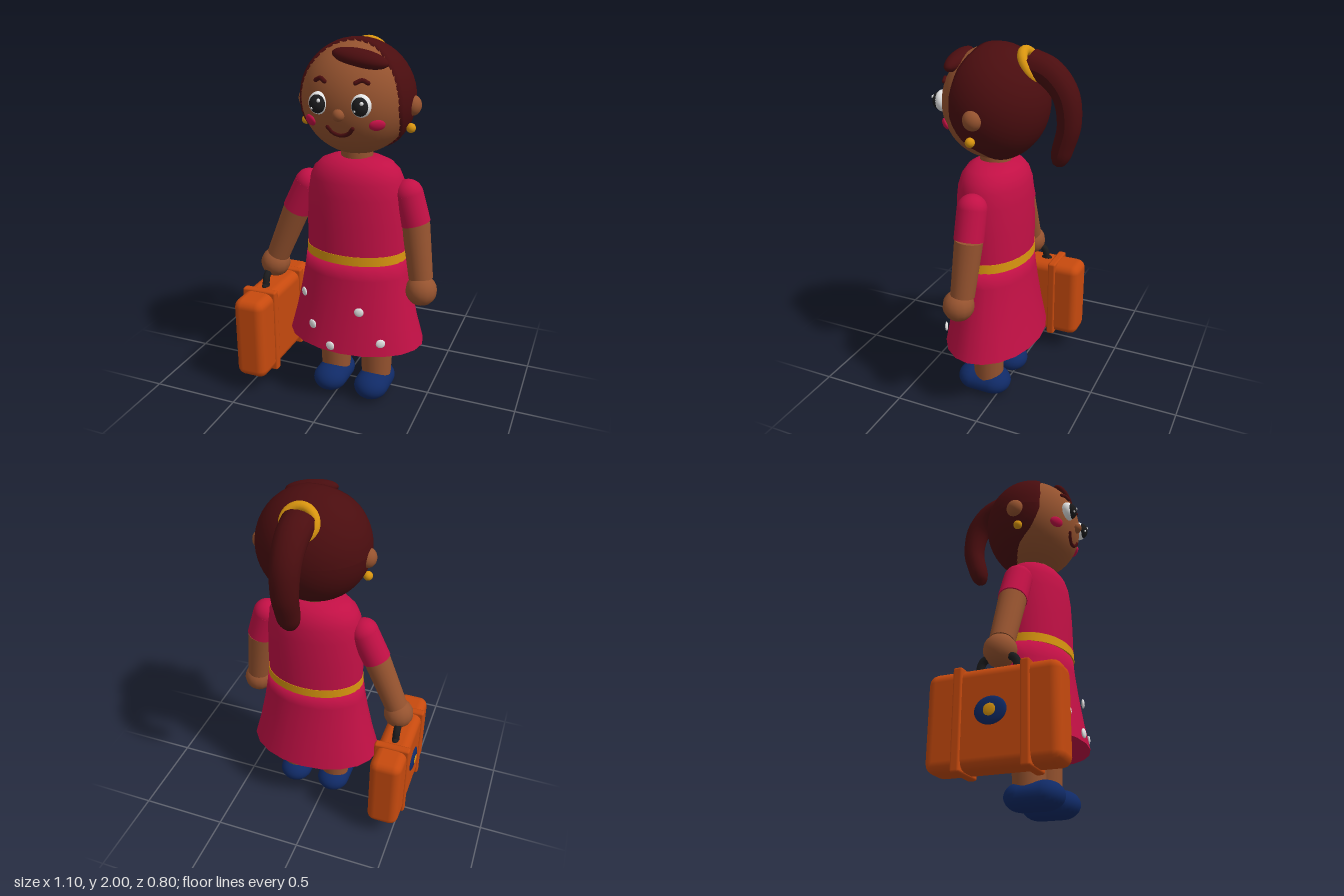
import * as THREE from 'three';
import { RoundedBoxGeometry } from 'three/addons/geometries/RoundedBoxGeometry.js';

const V = (x, y, z) => new THREE.Vector3(x, y, z);
const CX = 0.08, CZ = 0.063; // body axis
const mat = (name, color, side = THREE.FrontSide) => {
  const m = new THREE.MeshStandardMaterial({ color, side });
  m.name = name;
  return m;
};

export function createModel() {
  const model = new THREE.Group();
  model.name = 'travellingGirl';
  const crimson = mat('crimson', 0xc21045), skin = mat('skin', 0x96532f);
  const brown = mat('hairBrown', 0x4a0d0f, THREE.DoubleSide), gold = mat('gold', 0xd9950f);
  const orange = mat('caseOrange', 0xc74a0e), navy = mat('navy', 0x102a66);
  const white = mat('white', 0xebebeb), black = mat('black', 0x1c1c1e);

  const add = (name, geo, material, x = 0, y = 0, z = 0) => {
    const m = new THREE.Mesh(geo, material);
    m.name = name;
    m.position.set(x, y, z);
    model.add(m);
    return m;
  };
  const ball = (name, material, p, r, seg = 20) => {
    const m = add(name, new THREE.SphereGeometry(1, seg, Math.ceil(seg * 0.7)), material, ...p);
    m.scale.set(...(Array.isArray(r) ? r : [r, r, r]));
    return m;
  };
  const limb = (name, material, a, b, ra, rb) => {
    const m = add(name, new THREE.CylinderGeometry(rb, ra, a.distanceTo(b), 20), material);
    m.position.copy(a).add(b).multiplyScalar(0.5);
    m.quaternion.setFromUnitVectors(V(0, 1, 0), b.clone().sub(a).normalize());
    return m;
  };
  const tube = (name, material, pts, r) => {
    const curve = new THREE.CatmullRomCurve3(pts);
    add(name, new THREE.TubeGeometry(curve, 20, r, 8), material);
    for (const p of [pts[0], pts[pts.length - 1]]) ball(name + 'End', material, p.toArray(), r, 8);
  };
  const lathe = (name, material, pts, flat, seg) => {
    const geo = new THREE.LatheGeometry(pts.map(p => new THREE.Vector2(...p)), seg);
    add(name, geo, material, CX, 0, CZ).scale.z = flat;
  };

  // Dress: bodice, belt and closed skirt
  lathe('bodice', crimson, [[0.278, 0.88], [0.277, 1.05], [0.27, 1.2], [0.257, 1.28], [0.235, 1.33],
    [0.195, 1.37], [0.14, 1.393], [0.09, 1.4], [0, 1.4]], 0.71, 32);
  const belt = add('belt', new THREE.CylinderGeometry(0.281, 0.283, 0.05, 32), gold, CX, 0.873, CZ);
  belt.scale.z = 0.71;
  lathe('skirt', crimson, [[0.391, 0.35], [0.35, 0.5], [0.317, 0.65], [0.297, 0.76], [0.285, 0.85], [0, 0.85]], 0.68, 20);
  const hem = add('skirtUnderside', new THREE.CircleGeometry(0.391, 20), crimson, CX, 0.35, CZ);
  hem.rotation.x = Math.PI / 2;
  hem.scale.y = 0.68;

  // Small white flowers lying on the skirt front
  for (const [x, y] of [[-0.17, 0.63], [-0.09, 0.48], [0.03, 0.39], [0.18, 0.6], [0.3, 0.43]]) {
    const r = 0.391 - (y - 0.35) * 0.23, dx = x - CX;
    const dz = 0.68 * Math.sqrt(r * r - dx * dx);
    const f = ball('skirtFlower', white, [x, y, CZ + dz + 0.012], [0.026, 0.026, 0.009], 10);
    f.rotation.y = Math.atan2(dx * 0.68 * 0.68, dz);
  }

  // Legs and shoes
  for (const s of [-1, 1]) {
    const x = CX + s * 0.125;
    limb('leg', skin, V(x, 0.1, CZ), V(x, 0.42, CZ), 0.083, 0.098);
    const shoe = add('shoe', new THREE.CapsuleGeometry(0.098, 0.12, 8, 20), navy, x, 0.075, 0.09);
    shoe.rotation.x = Math.PI / 2;
    shoe.scale.z = 0.77;
  }

  // Arms: one carries the case, the other hangs
  const arms = [
    ['right', V(-0.2, 1.215, CZ), V(-0.278, 1.055, CZ), V(-0.405, 0.76, 0.06), V(-0.425, 0.705, 0.06)],
    ['left', V(0.365, 1.215, CZ), V(0.41, 1.06, CZ), V(0.455, 0.76, 0.085), V(0.465, 0.7, 0.105)],
  ];
  for (const [side, shoulder, cuff, wrist, hand] of arms) {
    ball(side + 'Shoulder', crimson, shoulder.toArray(), 0.079);
    limb(side + 'Sleeve', crimson, cuff, shoulder, 0.079, 0.079);
    limb(side + 'Forearm', skin, wrist, cuff, 0.065, 0.075);
    ball(side + 'Hand', skin, hand.toArray(), 0.085, 14);
  }

  // Neck and head
  limb('neck', skin, V(CX, 1.36, CZ), V(CX, 1.48, CZ), 0.085, 0.085);
  const HY = 1.7, R = [0.29, 0.288, 0.265];
  ball('head', skin, [CX, HY, CZ], R, 40);
  const faceZ = (dx, y) => CZ + R[2] * Math.sqrt(1 - (dx / R[0]) ** 2 - ((y - HY) / R[1]) ** 2);
  const onFace = (dx, y, out = 0) => V(CX + dx, y, faceZ(dx, y) + out);

  // Face
  ball('nose', skin, [CX, 1.655, 0.322], 0.031);
  tube('mouth', brown, [[-0.065, 1.59], [-0.04, 1.562], [0, 1.55], [0.04, 1.562], [0.065, 1.59]].map(p => onFace(...p)), 0.011);
  for (const s of [-1, 1]) {
    const x = CX + s * 0.11;
    ball('eyeWhite', white, [x, 1.705, 0.305], [0.051, 0.056, 0.038]);
    ball('pupil', black, [x + 0.002, 1.704, 0.325], [0.041, 0.046, 0.033]);
    ball('eyeGlint', white, [x + 0.018, 1.724, 0.349], 0.01, 8);
    ball('eyeGlint', white, [x - 0.016, 1.686, 0.349], 0.007, 8);
    tube('eyebrow', brown, [-0.028, 0, 0.028].map((d, i) => onFace(s * 0.107 + d, i === 1 ? 1.822 : 1.81, 0.005)), 0.011);
    const cheek = ball('cheek', crimson, onFace(s * 0.175, 1.607).toArray(), [0.042, 0.029, 0.016]);
    cheek.lookAt(cheek.position.clone().add(V(s * 0.175 / R[0] ** 2, -0.093 / R[1] ** 2, 0.194 / R[2] ** 2)));
    ball('ear', skin, [CX + s * 0.288, 1.675, 0.048], [0.046, 0.052, 0.05]);
    ball('earring', gold, [CX + s * 0.288, 1.563, 0.064], 0.025, 12);
  }

  // Hair cap: shell round the head whose front edge follows the hairline (angle from crown, z)
  const line = [[0, 0.11], [20, 0.125], [45, 0.17], [75, 0.19], [100, 0.185], [118, 0.137], [137, 0.03], [180, -0.06]];
  const hairlineZ = a => {
    const i = Math.min(line.length - 2, Math.max(0, line.findIndex(p => p[0] > a) - 1) + (a >= 180 ? 99 : 0));
    const [p, q] = [line[i], line[i + 1]];
    return p[1] + (q[1] - p[1]) * (a - p[0]) / (q[0] - p[0]);
  };
  const hair = new THREE.SphereGeometry(1, 48, 24), hp = hair.attributes.position, uv = hair.attributes.uv;
  for (let i = 0; i < hp.count; i++) {
    const p = Math.floor(i / 1) % 49 / 48 * Math.PI * 2, row = Math.floor(i / 49);
    const angle = Math.acos(THREE.MathUtils.clamp(Math.sin(p), -1, 1)) * 180 / Math.PI;
    const end = Math.acos((0.055 - hairlineZ(angle)) / 0.275);
    const t = end * Math.min(row, 23) / 23, k = row === 24 ? 0.93 : 1; // last ring tucks in
    hp.setXYZ(i, -Math.cos(p) * Math.sin(t) * 0.302 * k, Math.sin(p) * Math.sin(t) * 0.3 * k, -Math.cos(t) * 0.275 * k);
  }
  hair.computeVertexNormals();
  add('hairCap', hair, brown, CX, HY, 0.055);
  ball('fringe', brown, [0.153, 1.915, 0.222], [0.145, 0.043, 0.055]).rotation.set(0.3, 0, -0.18);

  // Ponytail: tube thinned along its path, with its tie
  const path = new THREE.CatmullRomCurve3([[-0.13, 1.905], [-0.23, 1.87], [-0.315, 1.77], [-0.338, 1.62], [-0.31, 1.5], [-0.282, 1.395]]
    .map(([z, y]) => V(CX, y, z)));
  const N = 32, tail = new THREE.TubeGeometry(path, N, 1, 16), tp = tail.attributes.position;
  for (let i = 0; i < tp.count; i++) {
    const t = Math.floor(i / 17) / N, c = path.getPointAt(t);
    const r = (0.076 - 0.026 * t) * Math.sqrt(Math.max(0, 1 - Math.max(0, (t - 0.85) / 0.15) ** 2));
    const v = V().fromBufferAttribute(tp, i).sub(c).multiplyScalar(r);
    tp.setXYZ(i, c.x + v.x * 1.17, c.y + v.y, c.z + v.z);
  }
  tail.computeVertexNormals();
  add('ponytail', tail, brown);
  const tie = add('hairTie', new THREE.TorusGeometry(0.079, 0.026, 12, 28), gold, CX, 1.897, -0.135);
  tie.lookAt(CX, 1.897 + 0.47, -0.135 - 0.88);

  // Suitcase with two straps, side badge and arched handle
  const SX = -0.442, SZ = 0.062;
  add('suitcase', new RoundedBoxGeometry(0.185, 0.48, 0.67, 2, 0.05), orange, SX, 0.35, SZ);
  for (const s of [-1, 1]) {
    add('suitcaseStrap', new RoundedBoxGeometry(0.205, 0.5, 0.048, 1, 0.012), orange, SX, 0.35, SZ + s * 0.168);
    ball('handleMount', black, [SX, 0.59, SZ + s * 0.1], [0.021, 0.02, 0.034], 12);
  }
  tube('suitcaseHandle', black, [[-0.1, 0.59], [-0.085, 0.645], [-0.04, 0.67], [0.04, 0.67], [0.085, 0.645], [0.1, 0.59]]
    .map(([z, y]) => V(SX, y, SZ + z)), 0.021);
  ball('badge', navy, [-0.535, 0.37, SZ], [0.015, 0.068, 0.08]);
  ball('badgeCentre', gold, [-0.546, 0.37, SZ], [0.007, 0.032, 0.034], 12);
  return model;
}
